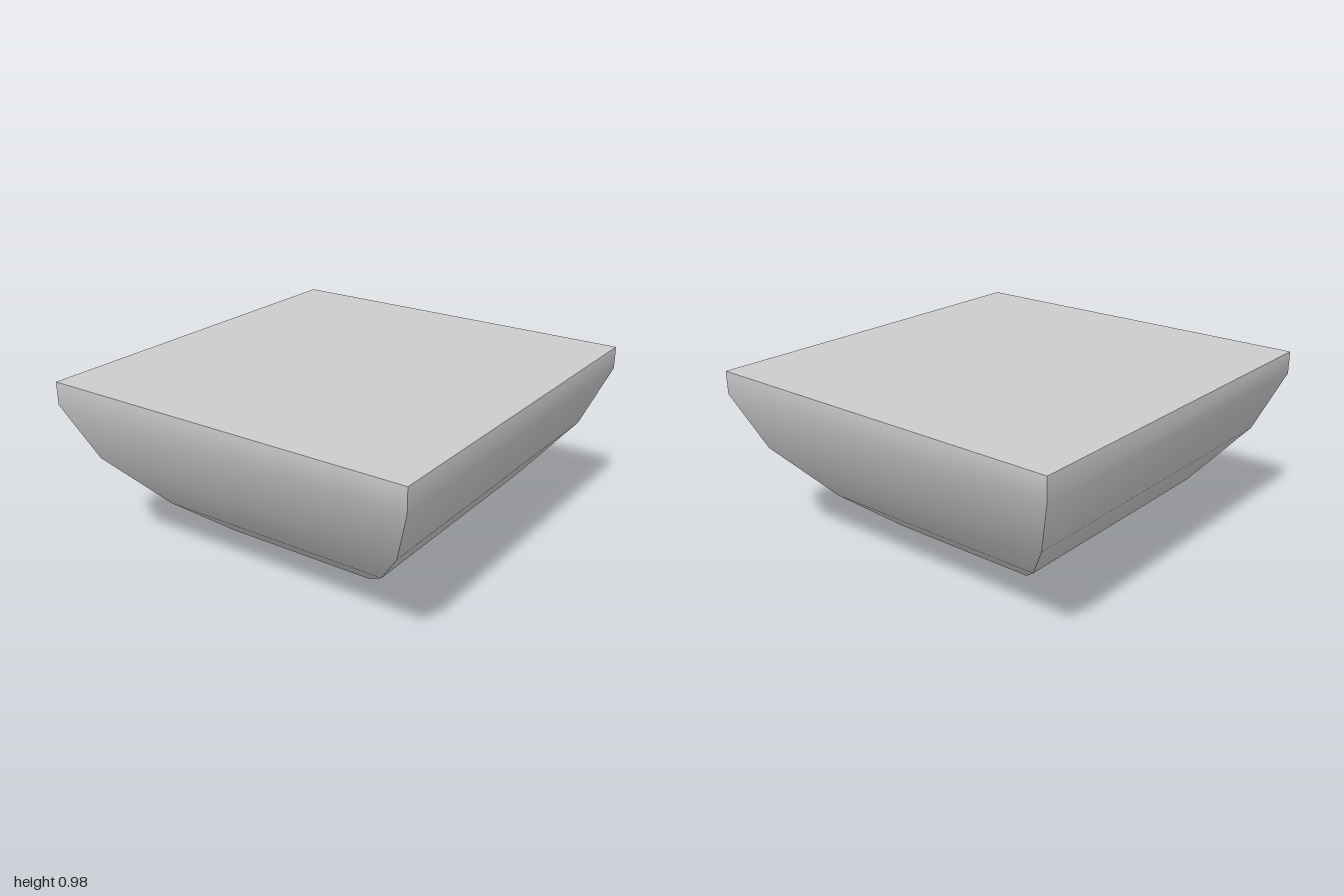
import * as THREE from 'three';

// Half-width and height of each rectangular level, bottom to top
const PROFILE = [[0.18, 0], [0.43, 0.11], [0.65, 0.295], [0.88, 0.57], [1, 0.86], [1, 0.975]];
const DEPTH = 0.97; // depth relative to width

// One curved wall: a strip of quads facing +z, turned to its side
function wallGeometry(angle) {
  const positions = [], index = [];
  PROFILE.forEach(([h, y], i) => {
    positions.push(-h, y, h, h, y, h);
    if (i > 0) {
      const a = 2 * (i - 1);
      index.push(a, a + 1, a + 3, a, a + 3, a + 2);
    }
  });
  const geometry = new THREE.BufferGeometry();
  geometry.setAttribute('position', new THREE.Float32BufferAttribute(positions, 3));
  geometry.setIndex(index);
  geometry.rotateY(angle).scale(1, 1, DEPTH);
  geometry.computeVertexNormals();
  return geometry;
}

// Flat horizontal cap on a level of the profile
function capGeometry([h, y], facing) {
  return new THREE.PlaneGeometry(2 * h, 2 * h * DEPTH)
    .rotateX(-facing * Math.PI / 2)
    .translate(0, y, 0);
}

export function createModel() {
  const group = new THREE.Group();
  group.name = 'squareBowlBlock';
  const material = new THREE.MeshStandardMaterial({ color: 0xcccccc });
  const add = (name, geometry) => {
    const mesh = new THREE.Mesh(geometry, material);
    mesh.name = name;
    group.add(mesh);
  };

  // Four walls meeting in sharp corners
  ['frontWall', 'leftWall', 'backWall', 'rightWall'].forEach((name, i) => {
    add(name, wallGeometry(i * Math.PI / 2));
  });

  // Closed top and small flat base
  add('topFace', capGeometry(PROFILE[PROFILE.length - 1], 1));
  add('baseFace', capGeometry(PROFILE[0], -1));
  return group;
}
